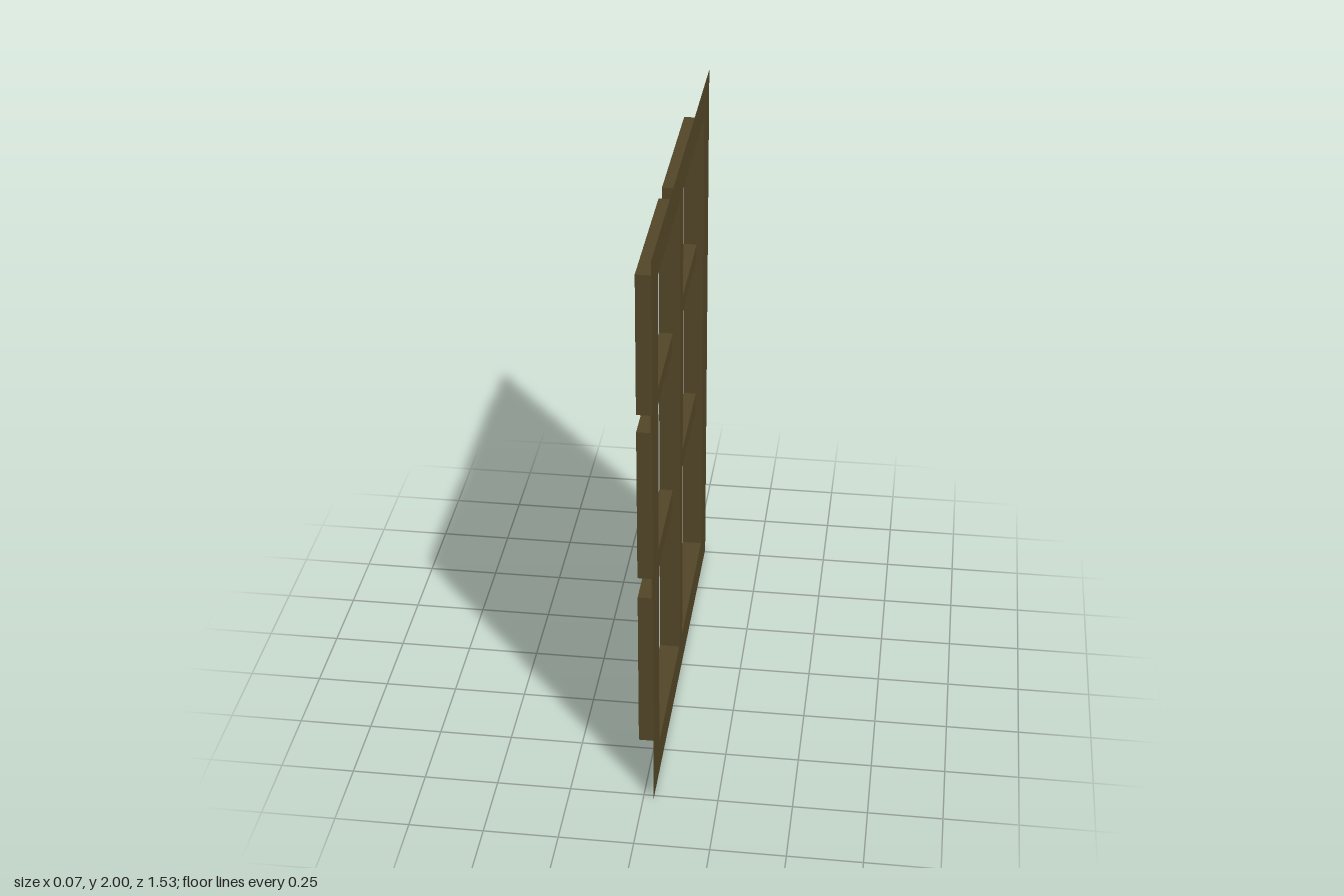
import * as THREE from 'three';

const FRONT = 0.035, BAR = 0.011, BACK = -0.035;
const columns = [[-0.617, -0.02], [0.066, 0.617]];                 // z ranges
const rows = [[0.126, 0.708], [0.784, 1.332], [1.394, 1.88]];      // y ranges
const [bottom, top] = [rows[0][0], rows[2][1]];

const wood = new THREE.MeshStandardMaterial({ color: 0x524627, side: THREE.DoubleSide });
const glass = new THREE.MeshStandardMaterial({ color: 0xbccbca, side: THREE.DoubleSide });

function rectangle(path, [z0, z1], [y0, y1]) {
  path.moveTo(-z1, y0);
  path.lineTo(-z0, y0);
  path.lineTo(-z0, y1);
  path.lineTo(-z1, y1);
  path.closePath();
  return path;
}

// Flat sheet facing +x, with optional rectangular openings
function sheet(x, z, y, holes = []) {
  const shape = rectangle(new THREE.Shape(), z, y);
  for (const [hz, hy] of holes) shape.holes.push(rectangle(new THREE.Path(), hz, hy));
  return new THREE.ShapeGeometry(shape).rotateY(Math.PI / 2).translate(x, 0, 0);
}

// Four inward-facing walls around a rectangular opening, from x0 back to x1
function reveal(x0, x1, [z0, z1], [y0, y1]) {
  const corners = [[y0, z0], [y0, z1], [y1, z1], [y1, z0]];
  const positions = [];
  corners.forEach((a, i) => {
    const b = corners[(i + 1) % 4];
    const quad = [[x0, ...a], [x1, ...a], [x1, ...b], [x0, ...b]];
    for (const k of [0, 2, 1, 0, 3, 2]) positions.push(...quad[k]);
  });
  const geometry = new THREE.BufferGeometry();
  geometry.setAttribute('position', new THREE.Float32BufferAttribute(positions, 3));
  geometry.computeVertexNormals();
  return geometry;
}

export function createModel() {
  const group = new THREE.Group();
  group.name = 'window';
  const add = (name, geometry, material) => {
    const mesh = new THREE.Mesh(geometry, material);
    mesh.name = name;
    group.add(mesh);
  };

  // Outer frame with the central upright
  add('frame', sheet(FRONT, [-0.766, 0.766], [0, 2],
    columns.map((z) => [z, [bottom, top]])), wood);

  for (const z of columns) {
    add('columnReveal', reveal(FRONT, BAR, z, [bottom, top]), wood);

    // Crossbars sit behind the face of the frame
    for (let i = 0; i < 2; i++) {
      add('crossbar', sheet(BAR, z, [rows[i][1], rows[i + 1][0]]), wood);
    }

    // Recessed panes with their own side walls
    for (const y of rows) {
      add('paneReveal', reveal(BAR, BACK, z, y), wood);
      add('pane', sheet(BACK, z, y), glass);
    }
  }
  return group;
}
